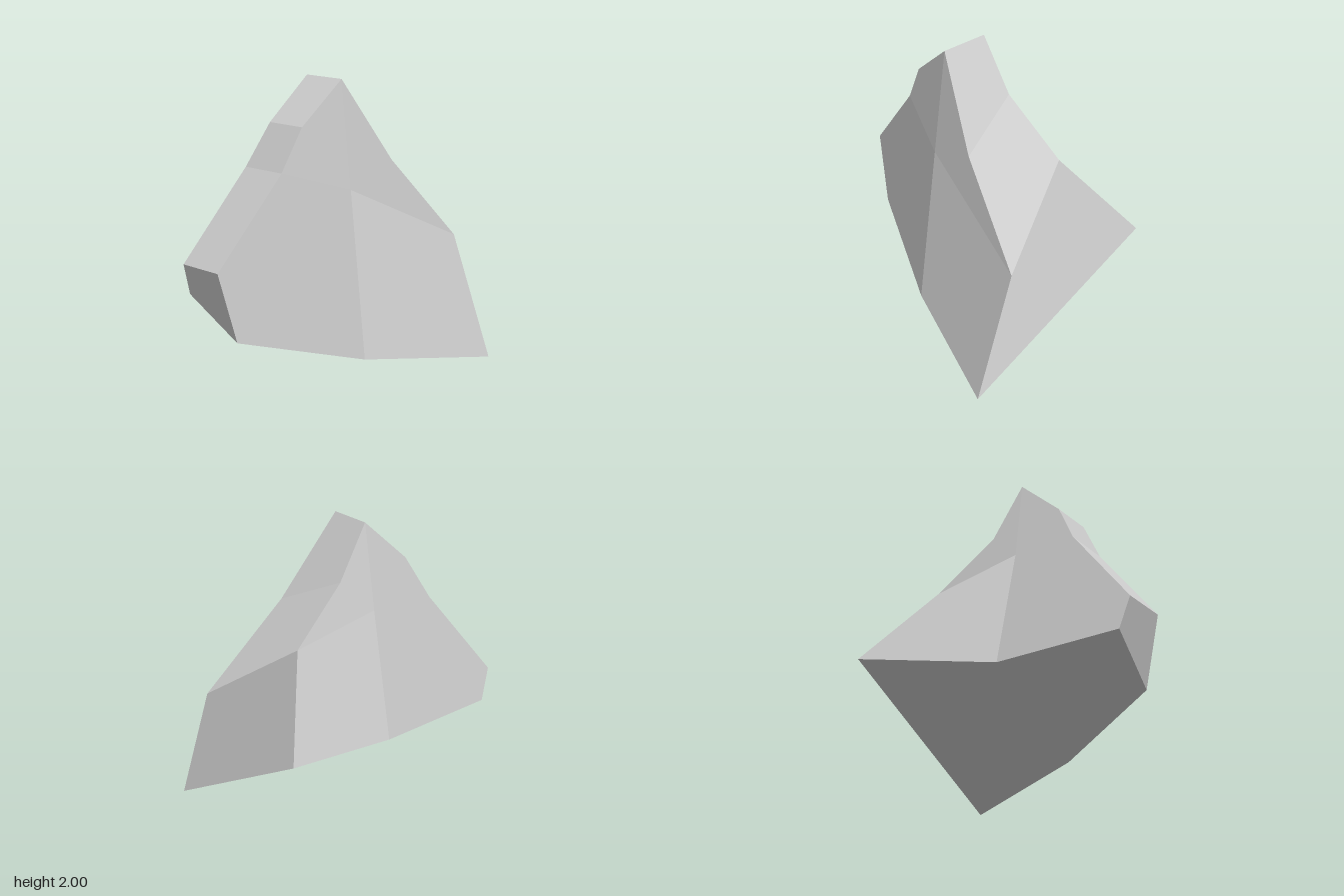
import * as THREE from 'three';

// Matching outlines of the two sides, from the top edge down the front, along the base and up the back
const LEFT_SIDE = [
  [0.18, 2, 0], [0.14, 1.71, 0.32], [0.105, 1.42, 0.47], [0.02, 0.82, 0.95], [0.06, 0.34, 0.825],
  [0.41, 0.125, 0], [0.7, 0, -0.95], [0.39, 0.84, -0.91], [0.29, 1.43, -0.37],
];
const RIGHT_SIDE = [
  [-0.15, 2, 0], [-0.17, 1.71, 0.32], [-0.24, 1.42, 0.475], [-0.325, 0.82, 0.95], [-0.35, 0.6, 0.88],
  [-0.43, 0.56, 0], [-0.7, 0.72, -0.95], [-0.27, 1.29, -0.62], [-0.18, 1.64, -0.22],
];
const LEFT_CENTRE = [0.27, 1.27, 0];
const RIGHT_CENTRE = [-0.24, 1.42, 0.01];

// Corner numbers of the four facets that meet at each side's centre
const FACETS = [[0, 1, 2], [2, 3, 4, 5], [5, 6, 7], [7, 8, 0]];

// One mesh of polygons, each fanned from its first corner and shaded with a single normal
function facetMesh(name, polygons, material) {
  const positions = [];
  const normals = [];
  for (const polygon of polygons) {
    const points = polygon.map((p) => new THREE.Vector3(...p));
    const normal = new THREE.Vector3();
    points.forEach((p, i) => {
      normal.add(p.clone().cross(points[(i + 1) % points.length]));
    });
    normal.normalize();
    for (let i = 1; i < points.length - 1; i++) {
      for (const p of [points[0], points[i], points[i + 1]]) {
        positions.push(p.x, p.y, p.z);
        normals.push(normal.x, normal.y, normal.z);
      }
    }
  }
  const geometry = new THREE.BufferGeometry();
  geometry.setAttribute('position', new THREE.Float32BufferAttribute(positions, 3));
  geometry.setAttribute('normal', new THREE.Float32BufferAttribute(normals, 3));
  const mesh = new THREE.Mesh(geometry, material);
  mesh.name = name;
  return mesh;
}

export function createModel() {
  const stone = new THREE.MeshStandardMaterial({ color: 0xcccccc });
  stone.name = 'pale grey stone';

  const group = new THREE.Group();
  group.name = 'rock';

  // Band of facets around the rock, joining the two side outlines
  const rim = LEFT_SIDE.map((p, i) => {
    const next = (i + 1) % LEFT_SIDE.length;
    return [p, RIGHT_SIDE[i], RIGHT_SIDE[next], LEFT_SIDE[next]];
  });

  // Side walls, with the corner order reversed on the right
  const leftWall = FACETS.map((f) => [LEFT_CENTRE, ...f.map((i) => LEFT_SIDE[i])]);
  const rightWall = FACETS.map((f) => [RIGHT_CENTRE, ...f.map((i) => RIGHT_SIDE[i]).reverse()]);

  group.add(
    facetMesh('rimFacets', rim, stone),
    facetMesh('leftWall', leftWall, stone),
    facetMesh('rightWall', rightWall, stone),
  );
  return group;
}
